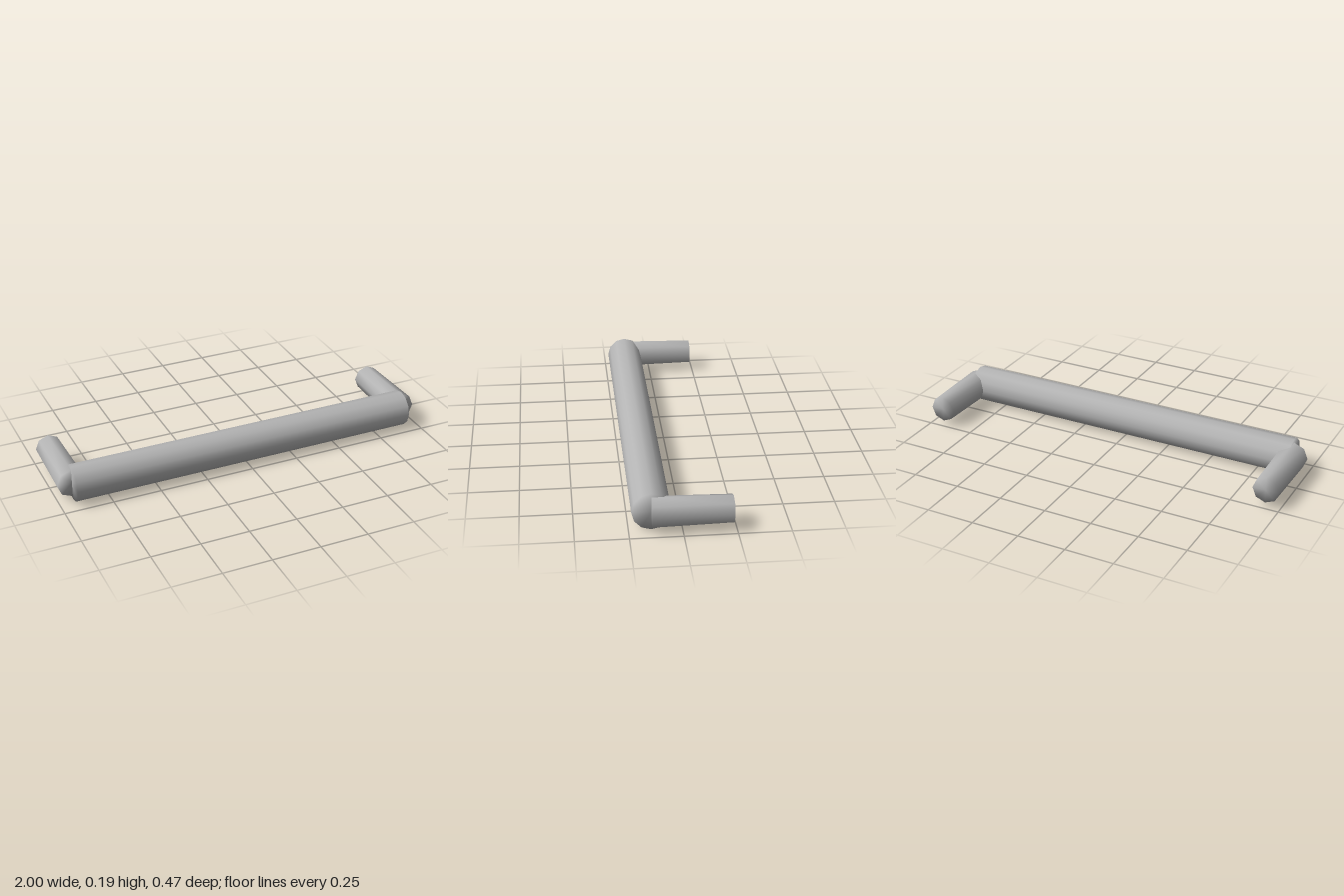
import * as THREE from 'three';
import { mergeVertices } from 'three/addons/utils/BufferGeometryUtils.js';

// Tapered rod along y whose normals blend across the end caps
function softRod(rTop, rBottom, length, sides) {
  const g = new THREE.CylinderGeometry(rTop, rBottom, length, sides);
  g.deleteAttribute('normal');
  g.deleteAttribute('uv');
  const merged = mergeVertices(g, 1e-4);
  merged.computeVertexNormals();
  return merged;
}

export function createModel() {
  const group = new THREE.Group();
  group.name = 'pullHandle';
  const metal = new THREE.MeshStandardMaterial({ color: 0xb4b4b4 });
  metal.name = 'grey metal';

  const midY = 0.094, barZ = 0.143, backZ = -0.235, endX = 0.924;

  // Long grip bar across the front
  const bar = new THREE.Mesh(softRod(0.093, 0.093, 2 * endX, 12).rotateZ(Math.PI / 2), metal);
  bar.name = 'gripBar';
  bar.position.set(0, midY, barZ);
  group.add(bar);

  // Mounting arms, tapering slightly towards the back
  for (const [side, name] of [[1, 'leftArm'], [-1, 'rightArm']]) {
    const arm = new THREE.Mesh(softRod(0.075, 0.068, barZ - backZ, 8).rotateX(Math.PI / 2), metal);
    arm.name = name;
    arm.position.set(side * 0.925, midY, (barZ + backZ) / 2);
    group.add(arm);
  }
  return group;
}
